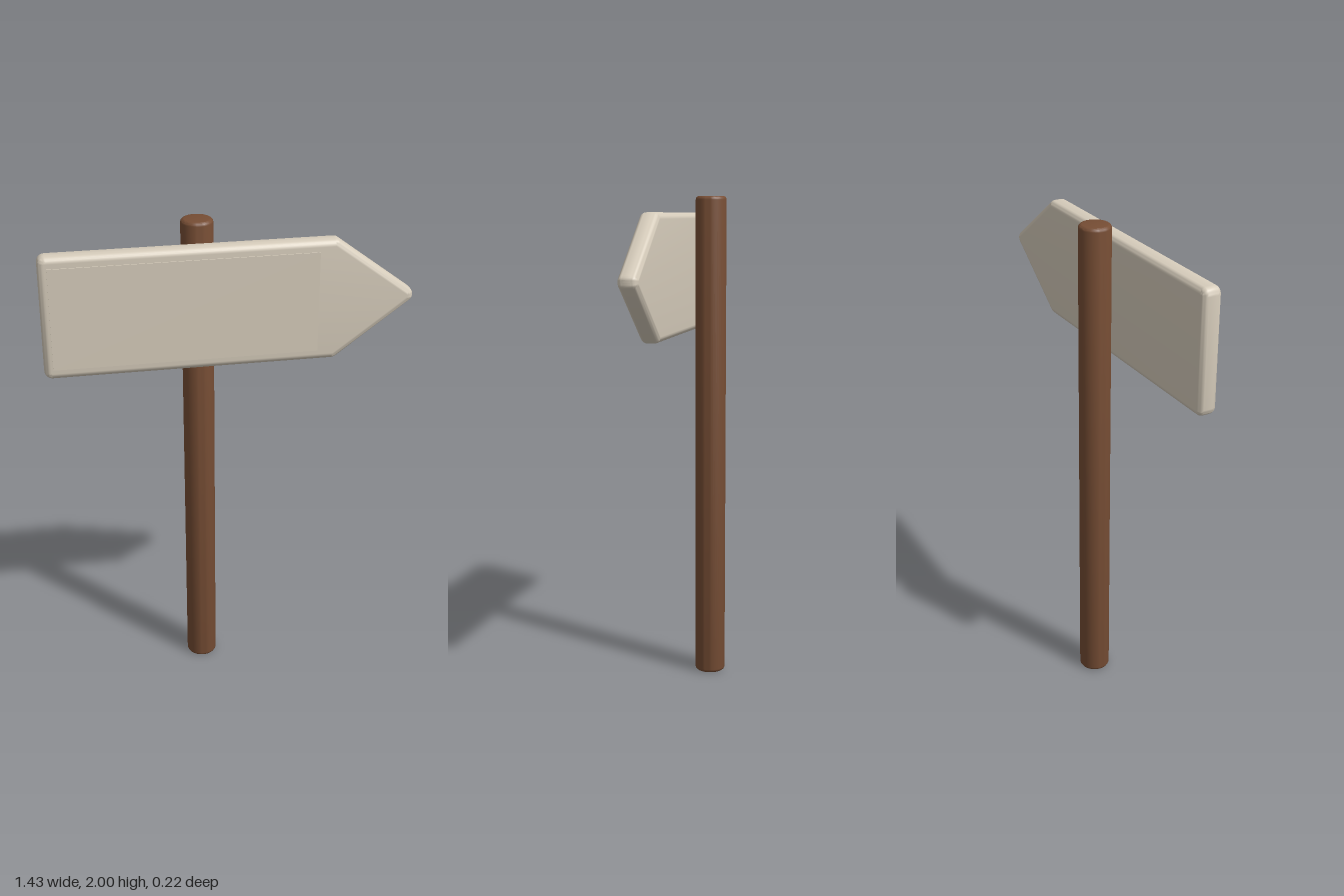
import * as THREE from 'three';
import { toCreasedNormals } from 'three/addons/utils/BufferGeometryUtils.js';

const wood = new THREE.MeshStandardMaterial({ color: 0x764d34 });
wood.name = 'brown wood';
const paint = new THREE.MeshStandardMaterial({ color: 0xd6ccbb });
paint.name = 'pale board';

function add(group, name, geometry, material, x, y, z) {
  const mesh = new THREE.Mesh(geometry, material);
  mesh.name = name;
  mesh.position.set(x, y, z);
  group.add(mesh);
}

// Round post with softened ends
function postGeometry(radius, height, edge) {
  const points = [new THREE.Vector2(0, 0)];
  const steps = 4;
  for (const top of [false, true]) {
    for (let i = 0; i <= steps; i++) {
      const a = (Math.PI / 2) * (i / steps);
      const out = top ? Math.cos(a) : Math.sin(a);
      const up = top ? Math.sin(a) : Math.cos(a);
      points.push(new THREE.Vector2(
        radius - edge + edge * out,
        top ? height - edge + edge * up : edge - edge * up));
    }
  }
  points.push(new THREE.Vector2(0, height));
  return toCreasedNormals(new THREE.LatheGeometry(points, 40), 0.6);
}

// Arrow board: rounded corners, each an arc about its own centre
function boardGeometry(depth, bevel) {
  const r = 0.03, left = -0.685, shoulder = 0.398, tip = 0.685, half = 0.2125;
  const slope = Math.atan2(tip - shoulder, half);
  const normal = Math.PI / 2 - slope;
  const lean = Math.PI / 2 - normal; // direction of the upper slanted edge's normal
  const q = Math.PI / 2;
  const corners = [
    [left, -half, -2 * q, -q],
    [shoulder, -half, -q, -(q - normal)],
    [tip, 0, -lean, lean],
    [shoulder, half, lean, q],
    [left, half, q, 2 * q],
  ];
  // Outward normal of the slanted edge, measured from +x
  const edgeAngle = Math.atan2(tip - shoulder, half);
  corners[1][3] = -edgeAngle;
  corners[2][2] = -edgeAngle;
  corners[2][3] = edgeAngle;
  corners[3][2] = edgeAngle;

  const outline = [];
  for (const [x, y, from, to] of corners) {
    for (let i = 0; i <= 6; i++) {
      const a = from + (to - from) * (i / 6);
      outline.push(new THREE.Vector2(x + r * Math.cos(a), y + r * Math.sin(a)));
    }
  }
  const geometry = new THREE.ExtrudeGeometry(new THREE.Shape(outline), {
    depth: depth - 2 * bevel,
    bevelEnabled: true,
    bevelThickness: bevel,
    bevelSize: bevel,
    bevelOffset: -bevel,
    bevelSegments: 6,
  });
  geometry.translate(0, 0, bevel - depth / 2);
  return toCreasedNormals(geometry, 0.7);
}

export function createModel() {
  const group = new THREE.Group();
  group.name = 'signpost';
  add(group, 'post', postGeometry(0.0625, 2, 0.014), wood, -0.105, 0, -0.0505);
  add(group, 'arrowBoard', boardGeometry(0.077, 0.025), paint, 0, 1.6925, 0.0665);
  // Thin raised face panel
  add(group, 'facePanel', new THREE.BoxGeometry(1.02, 0.4, 0.008), paint, -0.172, 1.692, 0.105);
  return group;
}
